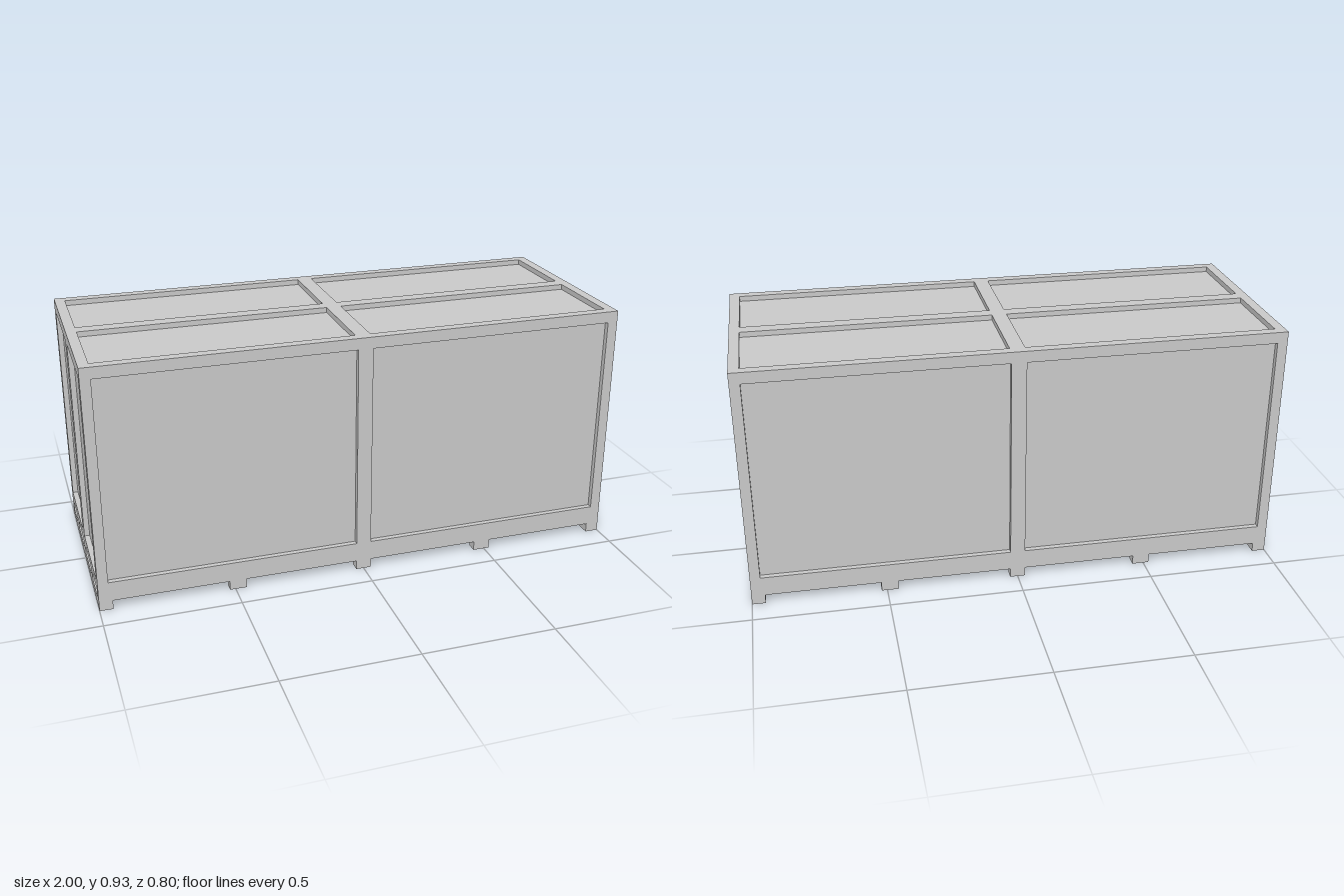
import * as THREE from 'three';

const W = 1, D = 0.4, H = 0.928;         // half length, half width, height
const T = 0.02;                          // panel recess = frame thickness
const FOOT = 0.035, FLOOR = 0.07;        // top of feet, top of runners
const EDGE = 0.038, MID = 0.028;         // frame border, half width of middle bars
const SILL = 0.11, HEAD = 0.885;         // wall panel bottom and top
const FEET = [-0.489, 0, 0.489];

export function createModel() {
  const group = new THREE.Group();
  const mat = new THREE.MeshStandardMaterial({ color: 0xcccccc });

  const add = (name, geo) => {
    const mesh = new THREE.Mesh(geo, mat);
    mesh.name = name;
    group.add(mesh);
    return mesh;
  };
  const box = (name, x0, x1, y0, y1, z0, z1) =>
    add(name, new THREE.BoxGeometry(x1 - x0, y1 - y0, z1 - z0))
      .position.set((x0 + x1) / 2, (y0 + y1) / 2, (z0 + z1) / 2);

  const rect = (x0, x1, y0, y1) => new THREE.Path([
    [x0, y0], [x0, y1], [x1, y1], [x1, y0]].map(p => new THREE.Vector2(...p)));
  const slot = (x0, x1, y0, y1, r = 0.004) => {
    const p = new THREE.Path();
    p.absarc(x0 + r, y0 + r, r, Math.PI, Math.PI * 1.5);
    p.absarc(x1 - r, y0 + r, r, -Math.PI / 2, 0);
    p.absarc(x1 - r, y1 - r, r, 0, Math.PI / 2);
    p.absarc(x0 + r, y1 - r, r, Math.PI / 2, Math.PI);
    return p;
  };
  const frame = (outline, holes) => {
    const s = new THREE.Shape(outline.map(p => new THREE.Vector2(...p)));
    s.holes.push(...holes);
    return new THREE.ExtrudeGeometry(s, { depth: T, bevelEnabled: false, curveSegments: 3 });
  };

  // Closed body behind the frames
  box('panelBody', -W + T, W - T, FLOOR + T, H - T, -D + T, D - T);

  // Long walls: two panels each, outline steps down to the feet
  const outline = [[-W, H], [-W, 0], [-0.95, 0], [-0.95, FOOT]];
  for (const x of FEET) {
    const h = x ? 0.032 : 0.029;
    outline.push([x - h, FOOT], [x - h, 0], [x + h, 0], [x + h, FOOT]);
  }
  outline.push([0.95, FOOT], [0.95, 0], [W, 0], [W, H]);
  const sideGeo = frame(outline, [
    rect(-W + EDGE, -MID, SILL, HEAD), rect(MID, W - EDGE, SILL, HEAD)]);
  add('frontFrame', sideGeo).position.z = D - T;
  const back = add('backFrame', sideGeo);
  back.rotation.y = Math.PI;
  back.position.z = -D + T;

  // End walls: two panels and four fork slots
  const e = D - T, endHoles = [];
  for (const s of [-1, 1]) {
    const span = (a, b) => [Math.min(s * a, s * b), Math.max(s * a, s * b)];
    endHoles.push(
      rect(...span(0.026, 0.362), SILL, HEAD),
      slot(...span(0.026, 0.19), FOOT, FLOOR),
      slot(...span(0.232, 0.362), FOOT, FLOOR));
  }
  const endGeo = frame([[-e, 0], [e, 0], [e, H], [-e, H]], endHoles);
  for (const s of [-1, 1]) {
    const end = add(s > 0 ? 'leftEndFrame' : 'rightEndFrame', endGeo);
    end.rotation.y = s * Math.PI / 2;
    end.position.x = s * (W - T);
  }

  // Roof and floor: two by two panels
  const w = W - T, deckHoles = [];
  for (const [x0, x1] of [[-W + EDGE, -MID], [MID, W - EDGE]])
    for (const [z0, z1] of [[-0.362, -0.026], [0.026, 0.362]])
      deckHoles.push(rect(x0, x1, z0, z1));
  const deckGeo = frame([[-w, -e], [w, -e], [w, e], [-w, e]], deckHoles);
  const roof = add('roofFrame', deckGeo);
  roof.rotation.x = -Math.PI / 2;
  roof.position.y = H - T;
  const floor = add('floorFrame', deckGeo);
  floor.rotation.x = Math.PI / 2;
  floor.position.y = FLOOR + T;

  // Runners under the floor, open channels between them
  for (const [z0, z1] of [[-e, -0.362], [-0.232, -0.19], [-0.026, 0.026], [0.19, 0.232], [0.362, e]])
    box('runner', -w, w, FOOT, FLOOR, z0, z1);

  // Full-width end skids and small feet under the long sides
  for (const s of [-1, 1]) {
    box('endSkid', s > 0 ? 0.95 : -w, s > 0 ? w : -0.95, 0, FOOT, -e, e);
    for (const x of FEET) {
      const h = x ? 0.032 : 0.029;
      box('foot', x - h, x + h, 0, FOOT, s > 0 ? 0.362 : -e, s > 0 ? e : -0.362);
    }
  }
  return group;
}
